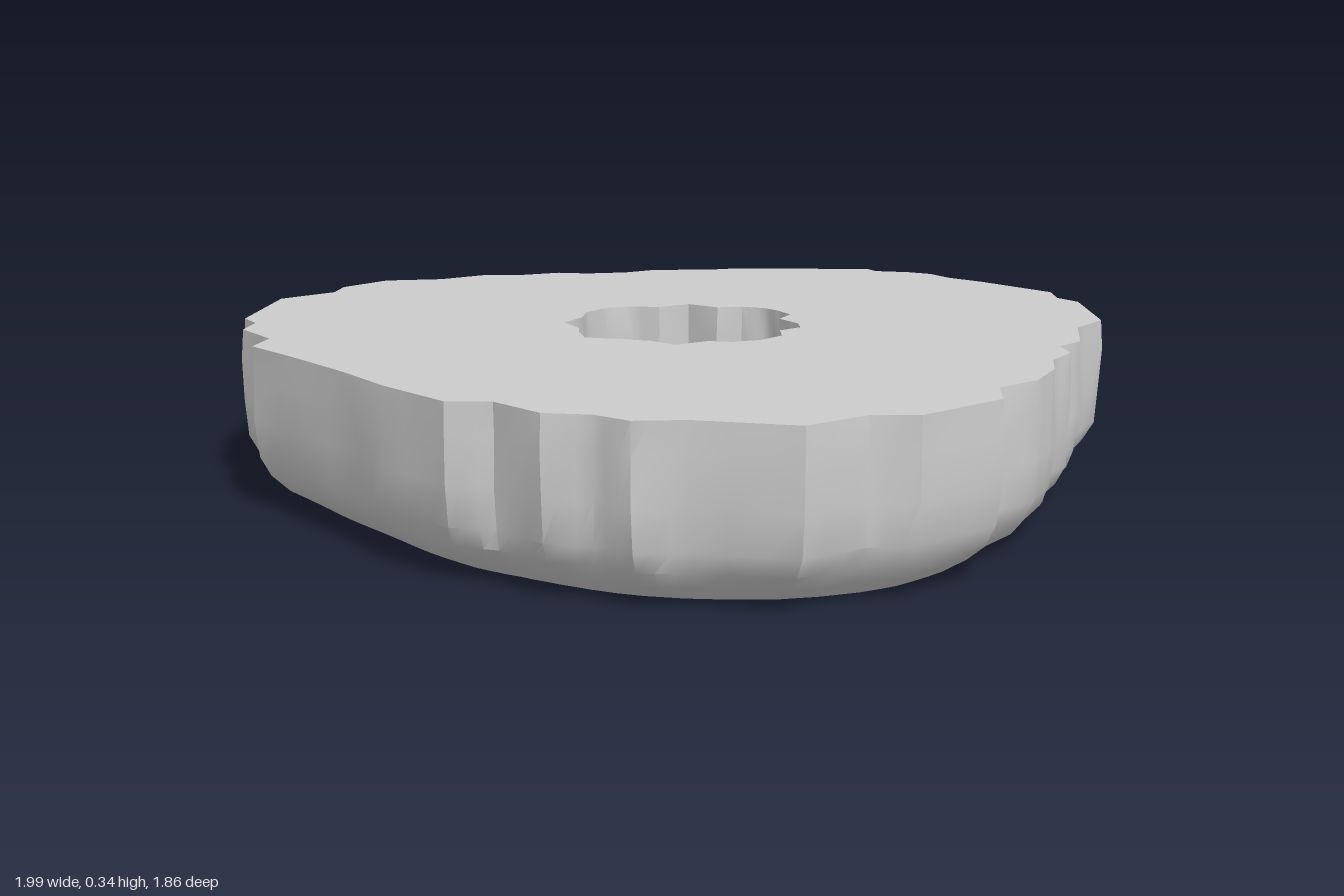
import * as THREE from 'three';
import { toCreasedNormals } from 'three/addons/utils/BufferGeometryUtils.js';

// Outlines as x, z pairs, clockwise seen from above
const OUTER = [
  -0.18, -0.93, -0.1, -0.915, 0, -0.925, 0.23, -0.92, 0.3, -0.86, 0.37, -0.85, 0.57, -0.68, 0.6, -0.56,
  0.71, -0.43, 0.72, -0.35, 0.78, -0.31, 0.81, -0.22, 0.87, -0.15, 0.92, -0.04, 0.92, 0.07, 0.99, 0.14,
  0.99, 0.35, 0.93, 0.42, 0.92, 0.56, 0.76, 0.68, 0.7, 0.76, 0.62, 0.78, 0.55, 0.84, 0.42, 0.85,
  0.36, 0.915, 0.17, 0.925, 0, 0.915, -0.2, 0.915, -0.36, 0.92, -0.42, 0.85, -0.56, 0.84, -0.62, 0.78,
  -0.69, 0.77, -0.9, 0.57, -0.91, 0.42, -0.97, 0.36, -1, 0.22, -0.93, 0.1, -0.92, -0.03, -0.86, -0.1,
  -0.83, -0.2, -0.77, -0.25, -0.72, -0.34, -0.71, -0.42, -0.61, -0.56, -0.59, -0.61, -0.4, -0.82,
  -0.35, -0.87, -0.31, -0.86, -0.24, -0.91,
];
const HOLE = [
  0, -0.215, 0.06, -0.2, 0.09, -0.14, 0.16, -0.13, 0.2, -0.1, 0.2, -0.04, 0.25, 0, 0.26, 0.07, 0.24, 0.13,
  0.2, 0.16, 0.19, 0.24, 0.12, 0.25, 0.07, 0.28, 0, 0.33, -0.06, 0.3, -0.1, 0.27, -0.18, 0.25, -0.21, 0.18,
  -0.26, 0.13, -0.28, 0.06, -0.26, 0, -0.21, -0.04, -0.2, -0.12, -0.12, -0.14, -0.09, -0.19, -0.04, -0.215,
];
const CENTER = new THREE.Vector2(0, 0.05);

// Wall rows: height, inset into the stone, amount of outline smoothing
const ROWS = [
  [0.345, 0.003, 0], [0.28, 0, 0], [0.19, 0, 0], [0.11, 0.005, 0.1],
  [0.07, 0.02, 0.3], [0.035, 0.05, 0.5], [0, 0.1, 0.8],
];

// Turns pairs into points, splitting each edge in three
function outline(pairs) {
  const pts = [];
  const n = pairs.length / 2;
  for (let i = 0; i < n; i++) {
    const j = (i + 1) % n;
    const a = new THREE.Vector2(pairs[2 * i], pairs[2 * i + 1]);
    const b = new THREE.Vector2(pairs[2 * j], pairs[2 * j + 1]);
    for (let k = 0; k < 3; k++) pts.push(a.clone().lerp(b, k / 3));
  }
  return pts;
}

// Average of nearby points
function smoothed(pts) {
  const n = pts.length;
  return pts.map((_, i) => {
    const s = new THREE.Vector2();
    for (let k = -4; k <= 4; k++) s.add(pts[(i + k + n) % n]);
    return s.divideScalar(9);
  });
}

// One loop per row; dir -1 draws in towards the centre, +1 flares outwards
function makeLoops(pairs, dir) {
  const base = outline(pairs);
  const soft = smoothed(base);
  return ROWS.map(([y, inset, blend], r) => base.map((p, i) => {
    const q = p.clone().lerp(soft[i], blend);
    const out = q.clone().sub(CENTER).normalize();
    // slight unevenness of the worn surface
    const bump = r > 0 && r < ROWS.length - 1 ? 0.005 * Math.sin(i * 0.9 + r * 2.1) * Math.sin(i * 0.37 - r * 1.3) : 0;
    q.addScaledVector(out, dir * inset + bump);
    return new THREE.Vector3(q.x, y, q.y);
  }));
}

// Skins the loops into a closed wall
function wall(loops, inward) {
  const n = loops[0].length;
  const pos = loops.flat().flatMap((v) => [v.x, v.y, v.z]);
  const index = [];
  for (let r = 0; r < loops.length - 1; r++) {
    for (let i = 0; i < n; i++) {
      const j = (i + 1) % n;
      const a = r * n + i, b = r * n + j, c = a + n, d = b + n;
      if (inward) index.push(a, d, b, a, c, d);
      else index.push(a, b, d, a, d, c);
    }
  }
  const g = new THREE.BufferGeometry();
  g.setAttribute('position', new THREE.Float32BufferAttribute(pos, 3));
  g.setIndex(index);
  return toCreasedNormals(g, 0.6);
}

// Flat face with the hole cut out; side is 1 for top and -1 for bottom
function cap(outer, hole, side) {
  const flat = (loop) => loop.map((v) => new THREE.Vector2(v.x, -side * v.z));
  const shape = new THREE.Shape(flat(outer));
  shape.holes.push(new THREE.Path(flat(hole)));
  return new THREE.ShapeGeometry(shape).rotateX(-side * Math.PI / 2).translate(0, outer[0].y, 0);
}

export function createModel() {
  const stone = new THREE.MeshStandardMaterial({ color: 0xcccccc });
  stone.name = 'stone grey';
  const group = new THREE.Group();
  group.name = 'piercedStone';

  const rim = makeLoops(OUTER, -1);
  const bore = makeLoops(HOLE, 1);
  const last = ROWS.length - 1;
  const parts = {
    outerRim: wall(rim, false),
    holeWall: wall(bore, true),
    topFace: cap(rim[0], bore[0], 1),
    underside: cap(rim[last], bore[last], -1),
  };
  for (const [name, geometry] of Object.entries(parts)) {
    const mesh = new THREE.Mesh(geometry, stone);
    mesh.name = name;
    group.add(mesh);
  }
  return group;
}
